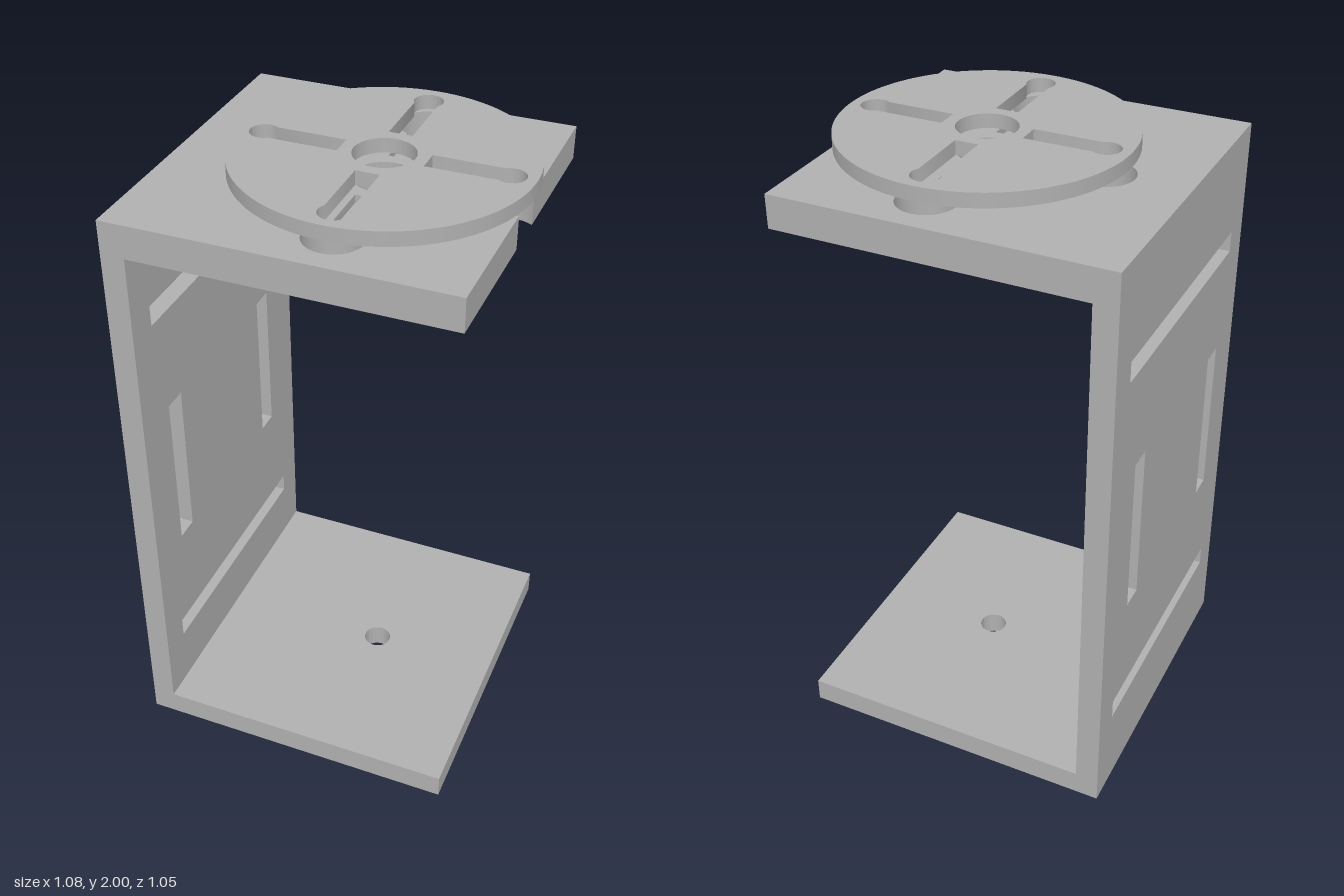
import * as THREE from 'three';
import { toCreasedNormals } from 'three/addons/utils/BufferGeometryUtils.js';

const AXIS_X = 0.09;      // x of the turning axis
const SLOT_R = 0.37;      // distance of round slot ends from the axis
const SLOT_IN = 0.13;     // inner end of the slots
const SLOT_W = 0.0365;    // half slot width
const HOLE_R = 0.09;
const HALF = 0.525;

// Points clockwise round a hole; channel adds a straight slot toward the axis,
// gap leaves the outer side open by that half angle. turn is in quarter turns.
function holePoints(r, channel, turn, gap = 0) {
  const a = channel ? Math.asin(SLOT_W / r) : 0;
  const local = [];
  const arc = (from, to, n = 24) => {
    for (let i = 0; i <= n; i++) {
      const t = from + (to - from) * i / n;
      local.push([SLOT_R + r * Math.cos(t), r * Math.sin(t)]);
    }
  };
  arc(-gap, -Math.PI + a);
  if (channel) local.push([SLOT_IN, -SLOT_W], [SLOT_IN, SLOT_W]);
  else local.pop();
  arc(-Math.PI - a, -2 * Math.PI + gap);
  if (!gap) local.pop();
  const c = Math.cos(turn * Math.PI / 2), s = Math.sin(turn * Math.PI / 2);
  return local.map(([x, y]) => new THREE.Vector2(AXIS_X + x * c - y * s, x * s + y * c));
}

function roundHole(r) {
  return new THREE.Path().absarc(AXIS_X, 0, r, 0, Math.PI * 2, true);
}

function rectPoints(x0, y0, x1, y1) {
  return [[x0, y0], [x1, y0], [x1, y1], [x0, y1]].map(p => new THREE.Vector2(...p));
}

function extrude(shape, depth) {
  return new THREE.ExtrudeGeometry(shape, { depth, bevelEnabled: false, curveSegments: 48 });
}

// Horizontal slab from a plan shape
function slab(shape, y0, y1) {
  const g = extrude(shape, y1 - y0).rotateX(-Math.PI / 2).translate(0, y0, 0);
  return toCreasedNormals(g, 0.6);
}

export function createModel() {
  const model = new THREE.Group();
  const grey = new THREE.MeshStandardMaterial({ color: 0xb0b0b0 });
  grey.name = 'plain grey';
  const add = (name, geometry) => {
    const mesh = new THREE.Mesh(geometry, grey);
    mesh.name = name;
    model.add(mesh);
  };

  // Base plate with a small centre hole
  const base = new THREE.Shape(rectPoints(-0.54, -HALF, 0.51, HALF));
  base.holes.push(roundHole(0.045));
  add('basePlate', slab(base, 0, 0.08));

  // Upright wall with four slots, drawn in z and y
  const wall = new THREE.Shape(rectPoints(-HALF, 0.08, HALF, 1.82));
  for (const r of [
    [-0.42, 0.277, 0.42, 0.343], [-0.42, 1.54, 0.42, 1.607],
    [0.29, 0.685, 0.368, 1.215], [-0.34, 0.685, -0.262, 1.215],
  ]) wall.holes.push(new THREE.Path(rectPoints(...r)));
  add('slottedWall', extrude(wall, 0.075).rotateY(-Math.PI / 2).translate(-0.465, 0, 0));

  // Top plate: round holes below, shallow channels in the upper layer;
  // the fourth hole breaks through the free edge
  const gap = Math.acos((0.51 - AXIS_X - SLOT_R) / HOLE_R);
  const topLayer = (name, channel, y0, y1) => {
    const [a, b, c, d] = rectPoints(-0.54, -HALF, 0.51, HALF);
    const shape = new THREE.Shape([a, b, ...holePoints(HOLE_R, channel, 0, gap), c, d]);
    for (let k = 1; k < 4; k++) shape.holes.push(new THREE.Path(holePoints(HOLE_R, channel, k)));
    shape.holes.push(roundHole(0.093));
    add(name, slab(shape, y0, y1));
  };
  topLayer('topPlateLower', false, 1.82, 1.9);
  topLayer('topPlateUpper', true, 1.9, 1.925);

  // Floating disc with four keyhole slots
  const disc = new THREE.Shape().absarc(AXIS_X, 0, 0.446, 0, Math.PI * 2, false);
  for (let k = 0; k < 4; k++) disc.holes.push(new THREE.Path(holePoints(0.045, true, k)));
  disc.holes.push(roundHole(0.093));
  add('slottedDisc', slab(disc, 1.955, 2));

  return model;
}
